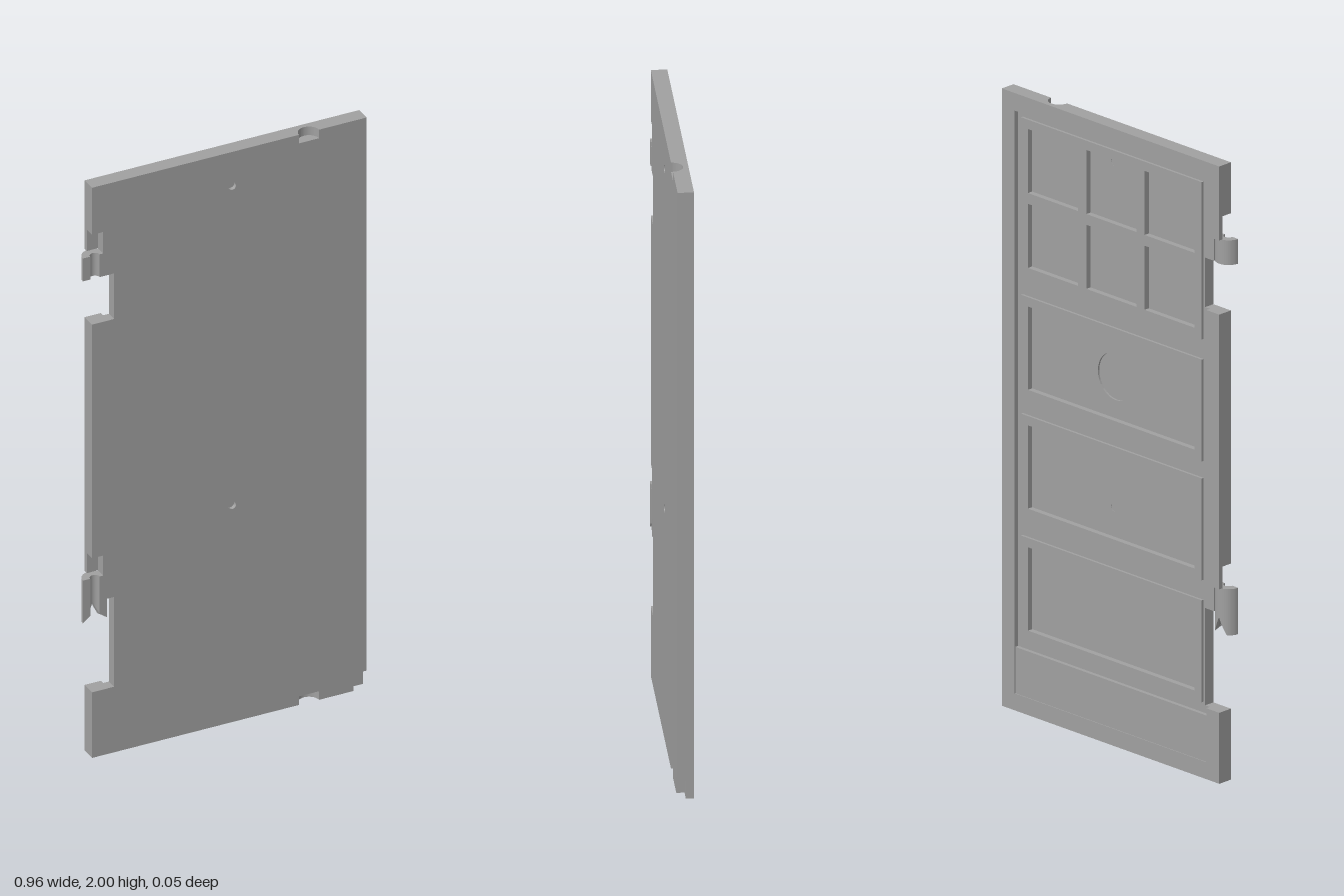
import * as THREE from 'three';

const material = new THREE.MeshStandardMaterial({ color: 0xa0a0a0 });
material.name = 'plain grey';

const L = -0.45, R = 0.48, H = 2;           // door edges
const FRONT = 0.025, BACK = -0.025;         // door faces
const FLOOR = -0.01, PANE = 0, RAISED = -0.018; // relief levels on the back
const MAGNET = { x0: 0.24, x1: 0.33, depth: 0.03 };
const HINGE_X = -0.44;

function polygon(points) {
  return new THREE.Shape(points.map(([x, y]) => new THREE.Vector2(x, y)));
}

function rectPath(x0, y0, x1, y1) {
  return new THREE.Path([[x0, y0], [x0, y1], [x1, y1], [x1, y0]].map(([x, y]) => new THREE.Vector2(x, y)));
}

function circlePath(x, y, r) {
  return new THREE.Path().absarc(x, y, r, 0, Math.PI * 2, true);
}

export function createModel() {
  const door = new THREE.Group();
  door.name = 'panelDoor';

  const add = (name, geometry) => {
    const mesh = new THREE.Mesh(geometry, material);
    mesh.name = name;
    door.add(mesh);
    return mesh;
  };
  // Extrude a front-facing outline between two depths
  const slab = (name, shape, z0, z1) => {
    const g = new THREE.ExtrudeGeometry(shape, { depth: z1 - z0, bevelEnabled: false, curveSegments: 16 });
    return add(name, g.translate(0, 0, z0));
  };
  const box = (name, x0, y0, x1, y1, z0, z1) => {
    const g = new THREE.BoxGeometry(x1 - x0, y1 - y0, z1 - z0);
    return add(name, g.translate((x0 + x1) / 2, (y0 + y1) / 2, (z0 + z1) / 2));
  };

  // Door outline with hinge cut-outs, magnet pockets and an optional corner cut
  const outline = (corner) => {
    const { x0, x1, depth } = MAGNET;
    const bottomRight = corner ? [[0.435, 0], [0.435, 0.06], [R, 0.06]] : [[R, 0]];
    return polygon([
      [L, 0], [x0, 0], [x0, depth], [x1, depth], [x1, 0], ...bottomRight,
      [R, H], [x1, H], [x1, H - depth], [x0, H - depth], [x0, H], [L, H],
      [L, 1.835], [-0.412, 1.835], [-0.412, 1.68], [-0.375, 1.68], [-0.375, 1.52], [L, 1.52],
      [L, 0.7], [-0.412, 0.7], [-0.412, 0.545], [-0.375, 0.545], [-0.375, 0.23], [L, 0.23],
    ]);
  };

  // Recessed panels: six window panes and three wide panels
  const px0 = -0.368, px1 = 0.405, rim = 0.03, bar = 0.035;
  const windowY = [1.415, 1.925];
  const panes = [];
  const paneW = (px1 - px0 - 2 * rim - 2 * bar) / 3;
  const paneH = (windowY[1] - windowY[0] - 2 * rim - bar) / 2;
  for (let row = 0; row < 2; row++) {
    for (let col = 0; col < 3; col++) {
      const x = px0 + rim + col * (paneW + bar);
      const y = windowY[0] + rim + row * (paneH + bar);
      panes.push([x, y, x + paneW, y + paneH]);
    }
  }
  const groups = [{ y: windowY, holes: panes }];
  for (const y of [[1.02, 1.35], [0.635, 0.965], [0.24, 0.57]]) {
    groups.push({ y, holes: [[px0 + rim, y[0] + rim, px1 - rim, y[1] - rim]] });
  }

  // Flat front sheet with two pin holes
  const frontShape = outline(true);
  for (const y of [0.76, 1.88]) frontShape.holes.push(circlePath(0.025, y, 0.013));
  frontShape.holes.push(circlePath(0.018, 1.185, 0.076));
  slab('frontSheet', frontShape, PANE, FRONT);
  box('pinHoleFloors', 0.0, 1.85, 0.05, 1.91, 0.001, 0.012);
  box('pinHoleFloors', 0.0, 0.73, 0.05, 0.79, 0.001, 0.012);
  // Floor of the round pocket, closing the front sheet
  slab('roundPocketFloor', new THREE.Shape().absarc(0.018, 1.185, 0.076, 0, Math.PI * 2), 0.006, FRONT);

  // Back sheet pierced by the panels
  const backShape = outline(false);
  for (const g of groups) for (const h of g.holes) backShape.holes.push(rectPath(...h));
  slab('backSheet', backShape, FLOOR, PANE);

  // Raised mouldings around the panels
  groups.forEach((g, i) => {
    const s = polygon([[px0, g.y[0]], [px1, g.y[0]], [px1, g.y[1]], [px0, g.y[1]]]);
    for (const h of g.holes) s.holes.push(rectPath(...h));
    slab(i === 0 ? 'windowMoulding' : 'panelMoulding', s, RAISED, FLOOR);
  });

  // Outer frame, interrupted at the hinges
  const fx0 = -0.395, fx1 = 0.425;
  box('topRail', L, 1.943, R, H, BACK, FLOOR);
  box('bottomRail', L, 0, R, 0.055, BACK, FLOOR);
  box('latchStile', fx1, 0.055, R, 1.943, BACK, FLOOR);
  for (const [y0, y1] of [[0.055, 0.23], [0.63, 1.52], [1.76, 1.943]]) {
    box('hingeStile', L, y0, fx0, y1, BACK, FLOOR);
  }
  box('kickPlate', fx0, 0.055, fx1, 0.205, -0.0225, FLOOR);

  // Half-round magnet pockets at the top and bottom edges
  for (const y of [0, H - MAGNET.depth]) {
    const { x0, x1, depth } = MAGNET;
    const cx = (x0 + x1) / 2, r = 0.034;
    const s = new THREE.Shape();
    s.moveTo(x0, -FRONT);
    s.lineTo(cx - r, -FRONT);
    s.absarc(cx, -FRONT, r, Math.PI, 0, true);
    s.lineTo(x1, -FRONT);
    s.lineTo(x1, -FLOOR);
    s.lineTo(x0, -FLOOR);
    s.closePath();
    const g = new THREE.ExtrudeGeometry(s, { depth, bevelEnabled: false, curveSegments: 20 });
    add('magnetPocket', g.rotateX(-Math.PI / 2).translate(0, y, 0));
  }

  // Half-round hinge clips, open to the front; the lower one has a V-cut end
  for (const [y0, y1, cut] of [[1.68, 1.76, 0], [0.48, 0.63, 0.055]]) {
    const s = new THREE.Shape();
    s.absarc(HINGE_X, -FRONT, 0.041, 0, Math.PI, false);
    s.absarc(HINGE_X, -FRONT, 0.016, Math.PI, 0, true);
    const g = new THREE.ExtrudeGeometry(s, { depth: y1 - y0, bevelEnabled: false, curveSegments: 16 });
    g.rotateX(-Math.PI / 2).translate(0, y0, 0);
    const p = g.attributes.position;
    for (let i = 0; i < p.count; i++) {
      if (p.getY(i) < y0 + 0.001) {
        const t = Math.max(0, 1 - Math.abs(p.getX(i) - HINGE_X) / 0.025);
        p.setY(i, y0 + cut * t);
      }
    }
    g.computeVertexNormals();
    add('hingeClip', g);
  }

  return door;
}
